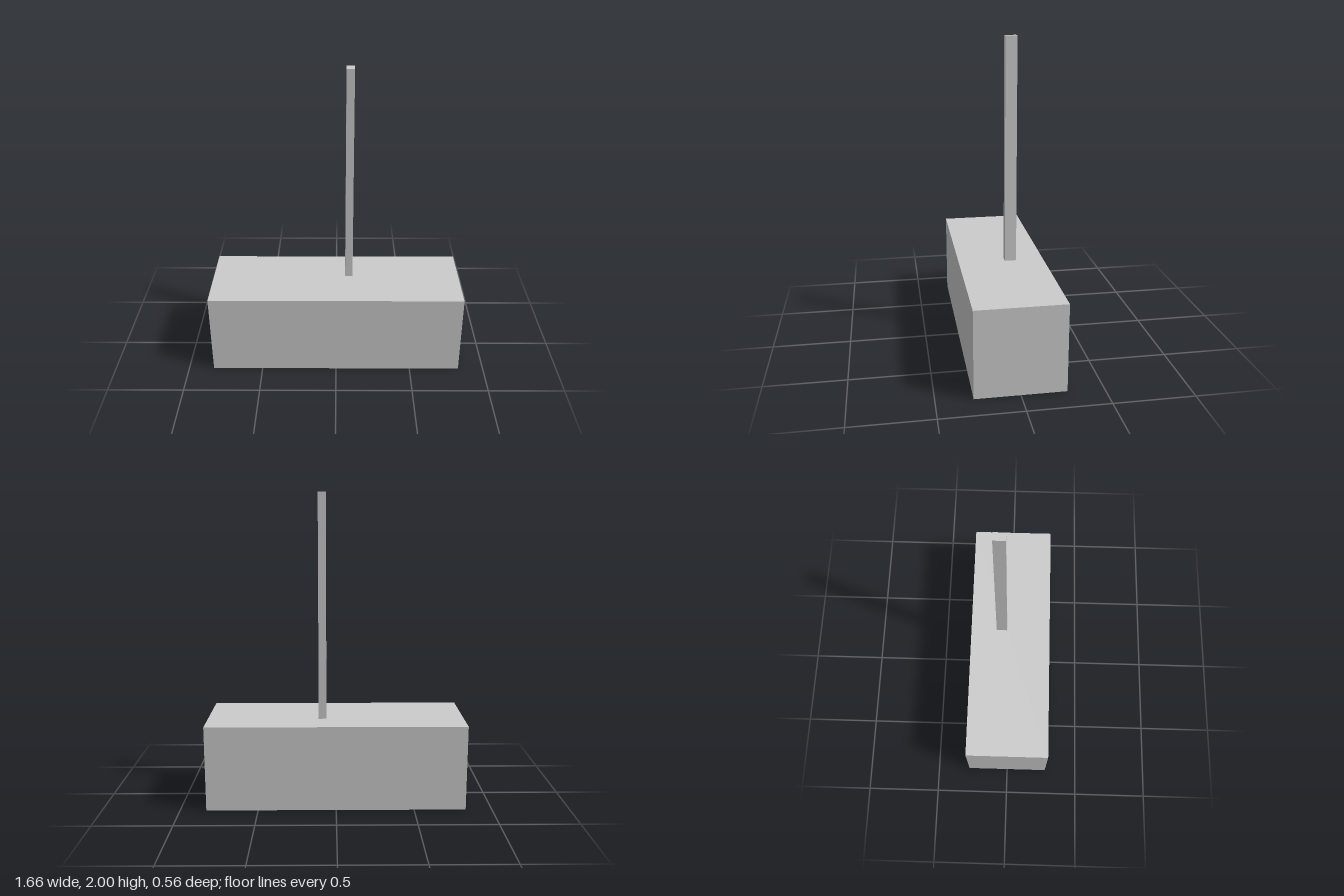
import * as THREE from 'three';

// Box spanning the given extents, standing on y0
function block(name, width, height, depth, x, y0, z, material) {
  const mesh = new THREE.Mesh(new THREE.BoxGeometry(width, height, depth), material);
  mesh.name = name;
  mesh.position.set(x, y0 + height / 2, z);
  return mesh;
}

export function createModel() {
  const group = new THREE.Group();
  group.name = 'blockWithPost';
  const grey = new THREE.MeshStandardMaterial({ color: 0xcccccc, flatShading: true });

  const baseHeight = 0.555;

  // Long, heavy base
  group.add(block('base', 1.664, baseHeight, 0.555, 0, 0, 0, grey));

  // Slim upright post, slightly off centre, standing on the base
  group.add(block('post', 0.05, 2 - baseHeight, 0.074, 0.087, baseHeight, -0.061, grey));

  return group;
}
